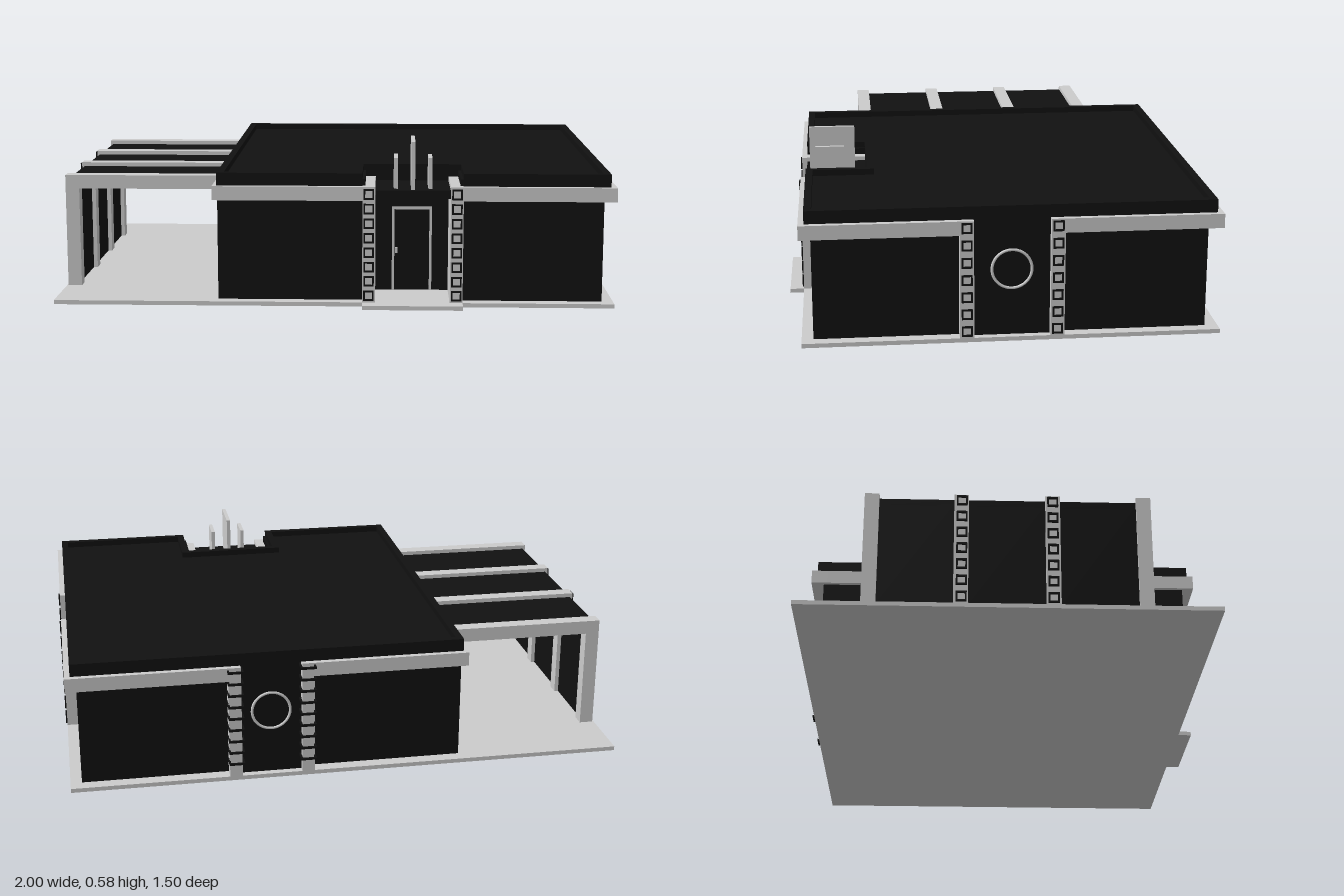
import * as THREE from 'three';

const grey = new THREE.MeshStandardMaterial({ color: 0xcccccc });
const dark = new THREE.MeshStandardMaterial({ color: 0x111111 });

export function createModel() {
  const model = new THREE.Group();

  function add(name, geometry, material, parent = model) {
    const mesh = new THREE.Mesh(geometry, material);
    mesh.name = name;
    parent.add(mesh);
    return mesh;
  }
  // box given by its limits on each axis
  function box(name, x0, x1, y0, y1, z0, z1, material) {
    const g = new THREE.BoxGeometry(x1 - x0, y1 - y0, z1 - z0);
    g.translate((x0 + x1) / 2, (y0 + y1) / 2, (z0 + z1) / 2);
    return add(name, g, material);
  }
  // upright prism from a plan outline of [x, z] points
  function prism(name, outline, y0, y1, material, hole) {
    const points = (list) => list.map(([x, z]) => new THREE.Vector2(x, -z));
    const shape = new THREE.Shape(points(outline));
    if (hole) shape.holes.push(new THREE.Path(points(hole)));
    const g = new THREE.ExtrudeGeometry(shape, { depth: y1 - y0, bevelEnabled: false });
    g.rotateX(-Math.PI / 2).translate(0, y0, 0);
    return add(name, g, material);
  }
  // rectangle with a notch cut into its front edge for the entrance
  const notched = (x0, x1, z0, z1, n0, n1, nz) => [
    [x0, z1], [n0, z1], [n0, nz], [n1, nz], [n1, z1], [x1, z1], [x1, z0], [x0, z0],
  ];

  // ground slab with the porch step
  prism('groundSlab', [
    [-1, 0.70], [0.10, 0.70], [0.10, 0.75], [0.455, 0.75], [0.455, 0.70],
    [0.99, 0.70], [0.99, -0.73], [-1, -0.73],
  ], 0, 0.015, grey);

  // main walls, roof deck and parapet, all notched around the entrance
  prism('walls', notched(-0.415, 0.95, -0.685, 0.66, 0.10, 0.455, 0.46), 0.015, 0.43, dark);
  prism('roofDeck', notched(-0.405, 0.96, -0.70, 0.67, 0.11, 0.445, 0.45), 0.42, 0.453, dark);
  prism('parapet', notched(-0.415, 0.97, -0.71, 0.68, 0.10, 0.455, 0.46), 0.43, 0.475, dark,
    notched(-0.39, 0.945, -0.685, 0.655, 0.075, 0.48, 0.435));

  // fascia boards, broken at each central bay
  const f0 = 0.38, f1 = 0.43;
  box('frontFascia', -0.43, 0.10, f0, f1, 0.64, 0.70, grey);
  box('frontFascia', 0.455, 0.99, f0, f1, 0.64, 0.70, grey);
  box('backFascia', -0.43, 0.125, f0, f1, -0.73, -0.67, grey);
  box('backFascia', 0.43, 0.99, f0, f1, -0.73, -0.67, grey);
  box('sideFascia', 0.93, 0.99, f0, f1, 0.165, 0.64, grey);
  box('sideFascia', 0.93, 0.99, f0, f1, -0.67, -0.19, grey);
  box('carportSideFascia', -0.43, -0.405, f0, f1, -0.67, 0.64, grey);

  // pillars framing the bays
  for (const x of [0.10, 0.41]) box('frontPillar', x, x + 0.045, 0.015, f1, 0.46, 0.70, grey);
  for (const x of [0.125, 0.385]) box('backPillar', x, x + 0.045, 0.015, f1, -0.73, -0.67, grey);
  for (const z of [0.118, -0.19]) box('sidePillar', 0.93, 0.99, 0.015, f1, z, z + 0.048, grey);

  // dark infill of the side and back bays
  box('sideBay', 0.94, 0.965, 0.015, 0.45, -0.145, 0.12, dark);
  box('backBay', 0.17, 0.385, 0.015, 0.45, -0.705, -0.68, dark);

  // round windows
  const sideWindow = add('sideRoundWindow', new THREE.TorusGeometry(0.068, 0.005, 8, 48), grey);
  sideWindow.position.set(0.966, 0.25, -0.012);
  sideWindow.rotation.y = Math.PI / 2;
  const backWindow = add('backRoundWindow', new THREE.TorusGeometry(0.068, 0.005, 8, 48), grey);
  backWindow.position.set(0.2775, 0.25, -0.706);

  // square ring ornaments
  function ringGeometry(size, bar) {
    const square = (Type, h) => new Type([
      new THREE.Vector2(-h, -h), new THREE.Vector2(h, -h),
      new THREE.Vector2(h, h), new THREE.Vector2(-h, h),
    ]);
    const shape = square(THREE.Shape, size / 2);
    shape.holes.push(square(THREE.Path, size / 2 - bar));
    return new THREE.ExtrudeGeometry(shape, { depth: 0.008, bevelEnabled: false })
      .translate(0, 0, -0.004);
  }
  const ring = ringGeometry(0.037, 0.006);
  const flatRing = ringGeometry(0.055, 0.006);
  function ringColumn(name, geometry, count, y0, step, x, z, rx, ry) {
    const column = new THREE.Group();
    column.name = name;
    for (let i = 0; i < count; i++) {
      const r = add('squareRing', geometry, dark, column);
      r.position.set(x, y0 + i * step, z);
      r.rotation.set(rx, ry, 0);
    }
    model.add(column);
  }
  for (const x of [0.1225, 0.4325]) ringColumn('frontRings', ring, 8, 0.04, 0.052, x, 0.701, 0, 0);
  for (const z of [0.142, -0.166]) {
    ringColumn('sideRings', ring, 7, 0.04, 0.061, 0.991, z, 0, Math.PI / 2);
    ringColumn('carportRings', ring, 7, 0.04, 0.061, -0.998, z - 0.007, 0, Math.PI / 2);
  }
  // the back ornaments lie flat and stand out from the pillars
  for (const x of [0.15, 0.406]) ringColumn('backRings', flatRing, 9, 0.072, 0.0435, x, -0.726, Math.PI / 2, 0);

  // entrance: recessed door and canopy
  box('entranceWall', 0.145, 0.41, 0.015, 0.39, 0.45, 0.50, dark);
  box('canopy', 0.145, 0.41, 0.385, 0.415, 0.45, 0.68, dark);
  for (const x of [0.205, 0.341]) box('doorJamb', x, x + 0.009, 0.015, 0.325, 0.495, 0.508, grey);
  box('doorHead', 0.205, 0.35, 0.316, 0.325, 0.495, 0.508, grey);
  box('doorHandle', 0.216, 0.226, 0.155, 0.175, 0.495, 0.515, grey);

  // upright fins above the entrance
  box('centralFin', 0.271, 0.285, 0.41, 0.585, 0.50, 0.667, grey);
  for (const x of [0.21, 0.332]) box('sideFin', x, x + 0.014, 0.41, 0.525, 0.54, 0.645, grey);

  // carport portal frames
  const frames = [-0.505, -0.20, 0.11, 0.42];
  for (const z of frames) {
    box('carportBeam', -0.995, -0.42, 0.38, 0.43, z, z + 0.05, grey);
    box('carportPost', -0.995, -0.945, 0.015, 0.38, z, z + 0.05, grey);
    box('carportInnerPost', -0.43, -0.41, 0.015, 0.38, z, z + 0.05, grey);
  }
  // carport roof and side panels between the frames
  for (let i = 0; i < 3; i++) {
    const z0 = frames[i] + 0.05, z1 = frames[i + 1];
    box('carportRoofPanel', -0.985, -0.43, 0.39, 0.415, z0, z1, dark);
    box('carportSidePanel', -0.985, -0.96, 0.015, 0.40, z0, z1, dark);
  }
  return model;
}
